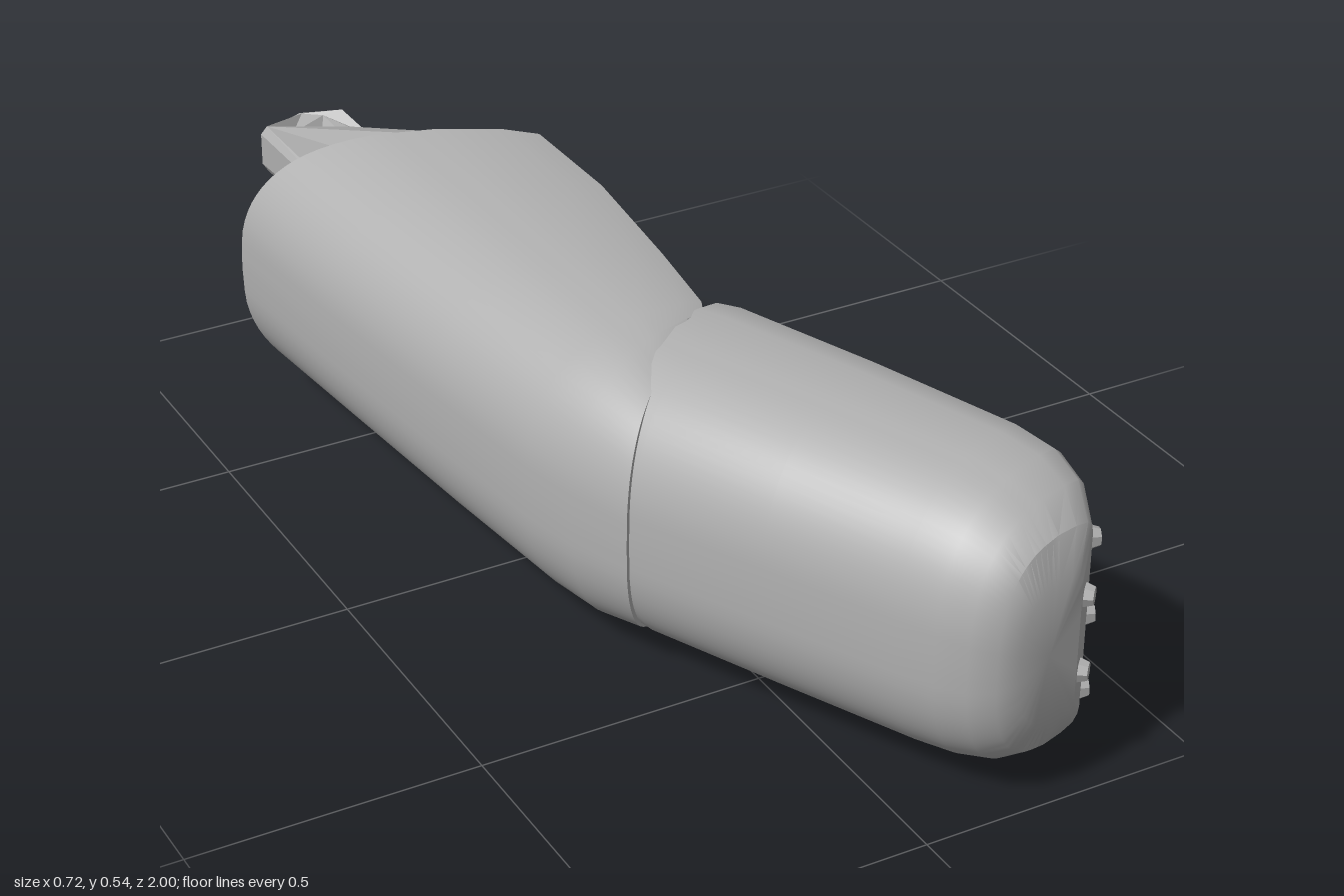
import * as THREE from 'three';
import { toCreasedNormals } from 'three/addons/utils/BufferGeometryUtils.js';
import { ConvexGeometry } from 'three/addons/geometries/ConvexGeometry.js';

const MID = 0.27; // height of the centre line

// Full ring of [u, h]: u runs across from left to right, h is the share of half height.
function ring(leftCurve, rightCorner) {
  const spline = new THREE.CatmullRomCurve3(leftCurve.map(([u, h]) => new THREE.Vector3(u, h, 0)));
  const top = spline.getPoints(20).map((p) => [p.x, p.y]).concat(rightCorner);
  const bottom = top.filter(([, h]) => h > 0.001).reverse().map(([u, h]) => [u, -h]);
  return top.concat(bottom);
}

// Skin through sections [leftX, leftZ, rightX, rightZ, halfHeight], closed by flat caps.
function loft(sections, profile) {
  const pos = [], idx = [], n = profile.length, last = sections.length - 1;
  for (const [lx, lz, rx, rz, H] of sections)
    for (const [u, h] of profile) pos.push(lx + (rx - lx) * u, MID + H * h, lz + (rz - lz) * u);
  for (let s = 0; s < last; s++)
    for (let i = 0; i < n; i++) {
      const j = (i + 1) % n, a = s * n, b = a + n;
      idx.push(a + i, b + i, a + j, a + j, b + i, b + j);
    }
  const centre = pos.length / 3;
  for (const s of [0, last]) {
    const [lx, lz, rx, rz] = sections[s];
    pos.push((lx + rx) / 2, MID, (lz + rz) / 2);
    for (let i = 0; i < n; i++) {
      const j = (i + 1) % n;
      if (s) idx.push(centre + 1, s * n + j, s * n + i);
      else idx.push(centre, i, j);
    }
  }
  const g = new THREE.BufferGeometry();
  g.setAttribute('position', new THREE.Float32BufferAttribute(pos, 3));
  g.setIndex(idx);
  return toCreasedNormals(g, 0.55);
}

export function createModel() {
  const model = new THREE.Group();
  const grey = new THREE.MeshStandardMaterial({ color: 0xb0b0b0 });
  grey.name = 'grey';
  const add = (name, geometry, parent = model) => {
    const mesh = new THREE.Mesh(geometry, grey);
    mesh.name = name;
    parent.add(mesh);
    return mesh;
  };

  const rounded = [[0, 0], [0.01, 0.3], [0.05, 0.52], [0.12, 0.7], [0.22, 0.84], [0.38, 0.95], [0.6, 1]];

  // Rear half, cut off at a slant
  add('rearBody', loft([
    [-0.36, -0.73, 0.17, -0.47, 0.268],
    [-0.335, -0.45, 0.172, -0.25, 0.265],
    [-0.30, -0.1, 0.14, 0, 0.26],
    [-0.265, 0.2, 0.112, 0.16, 0.256],
    [-0.24, 0.31, 0.09, 0.19, 0.254],
    [-0.2, 0.42, 0.05, 0.2, 0.235],
  ], ring(rounded, [[0.8, 0.99], [0.91, 0.95], [0.96, 0.6], [1, 0]])));

  // Front half, bent to the side with a rounded end
  const front = [
    [-0.22, 0.28, 0.125, 0.165, 0.25],
    [-0.19, 0.42, 0.145, 0.2, 0.256],
    [-0.085, 0.64, 0.24, 0.46, 0.256],
    [0.02, 0.86, 0.33, 0.72, 0.252],
    [0.05, 0.92, 0.348, 0.8, 0.244],
    [0.08, 0.965, 0.343, 0.87, 0.225],
    [0.115, 0.992, 0.315, 0.935, 0.19],
    [0.15, 1.0, 0.27, 0.98, 0.125],
  ];
  add('frontBody', loft(front, ring(rounded, [[0.8, 0.99], [0.93, 0.96], [0.985, 0.9], [1, 0.83], [1, 0.4], [1, 0]])));

  // Staggered studs on the flat gripping face
  const studs = new THREE.Group();
  studs.name = 'studs';
  model.add(studs);
  const stud = new THREE.CylinderGeometry(0.015, 0.022, 0.022, 7).toNonIndexed();
  stud.computeVertexNormals();
  const up = new THREE.Vector3(0, 1, 0);
  function addStud(y, z) {
    let k = 1;
    while (k < front.length - 1 && front[k][3] < z) k++;
    const [, , x0, z0] = front[k - 1], [, , x1, z1] = front[k];
    const normal = new THREE.Vector3(z1 - z0, 0, x0 - x1).normalize();
    const mesh = add('stud', stud, studs);
    mesh.position.set(x0 + (x1 - x0) * (z - z0) / (z1 - z0), y, z).addScaledVector(normal, 0.004);
    mesh.quaternion.setFromUnitVectors(up, normal);
  }
  for (let i = 0; i < 7; i++) {
    for (const y of [0.135, 0.272, 0.41]) addStud(y, 0.23 + i * 0.115);
    for (const y of [0.203, 0.34]) addStud(y, 0.28 + i * 0.1135);
  }

  // Jagged clasp at the back: two pronged plates joined by faceted chunks
  const clasp = new THREE.Group();
  clasp.name = 'clasp';
  model.add(clasp);
  const path = (pts, type = THREE.Shape) => new type(pts.map(([x, z]) => new THREE.Vector2(x, -z)));
  const outline = path([[-0.21, -0.5], [0, -0.5], [-0.02, -0.6], [0.04, -0.63], [0.09, -0.65], [0.12, -0.73],
    [0.095, -0.77], [-0.04, -0.86], [-0.06, -0.94], [-0.12, -0.99], [-0.22, -0.92]]);
  outline.holes.push(path([[-0.16, -0.94], [-0.09, -0.96], [-0.075, -0.88]], THREE.Path),
    path([[-0.03, -0.64], [0.02, -0.66], [0.02, -0.75]], THREE.Path));
  for (const side of [1, -1]) {
    const g = new THREE.ExtrudeGeometry(outline, {
      depth: 0.04, bevelThickness: 0.012, bevelSize: 0.01, bevelSegments: 1 });
    g.rotateX(-Math.PI / 2);
    const p = g.attributes.position;
    // thin the prongs towards the tips and tilt the plates for a rough, faceted look
    for (let i = 0; i < p.count; i++) {
      const x = p.getX(i), z = p.getZ(i);
      const y = (p.getY(i) - 0.02) * (1.15 + 0.35 * Math.sin(x * 37 + z * 23));
      p.setY(i, MID + side * 0.112 + y + 0.012 * Math.sin(z * 31 - x * 19));
    }
    g.computeVertexNormals();
    add(side > 0 ? 'upperProng' : 'lowerProng', g, clasp);
  }
  const chunk = (name, pts) => add(name, new ConvexGeometry(pts.map((p) => new THREE.Vector3(...p))), clasp);
  chunk('claspBase', [[-0.21, 0.15, -0.5], [-0.21, 0.4, -0.5], [0.02, 0.15, -0.48], [0.02, 0.39, -0.48],
    [-0.2, 0.17, -0.72], [-0.21, 0.38, -0.7], [-0.03, 0.18, -0.64], [-0.04, 0.37, -0.66], [-0.1, 0.27, -0.74]]);
  chunk('claspPost', [[0.04, 0.15, -0.64], [0.11, 0.16, -0.67], [0.1, 0.17, -0.77], [0.03, 0.16, -0.75],
    [0.05, 0.38, -0.64], [0.12, 0.37, -0.69], [0.09, 0.38, -0.77], [0.03, 0.37, -0.74], [0.125, 0.27, -0.72]]);

  return model;
}
